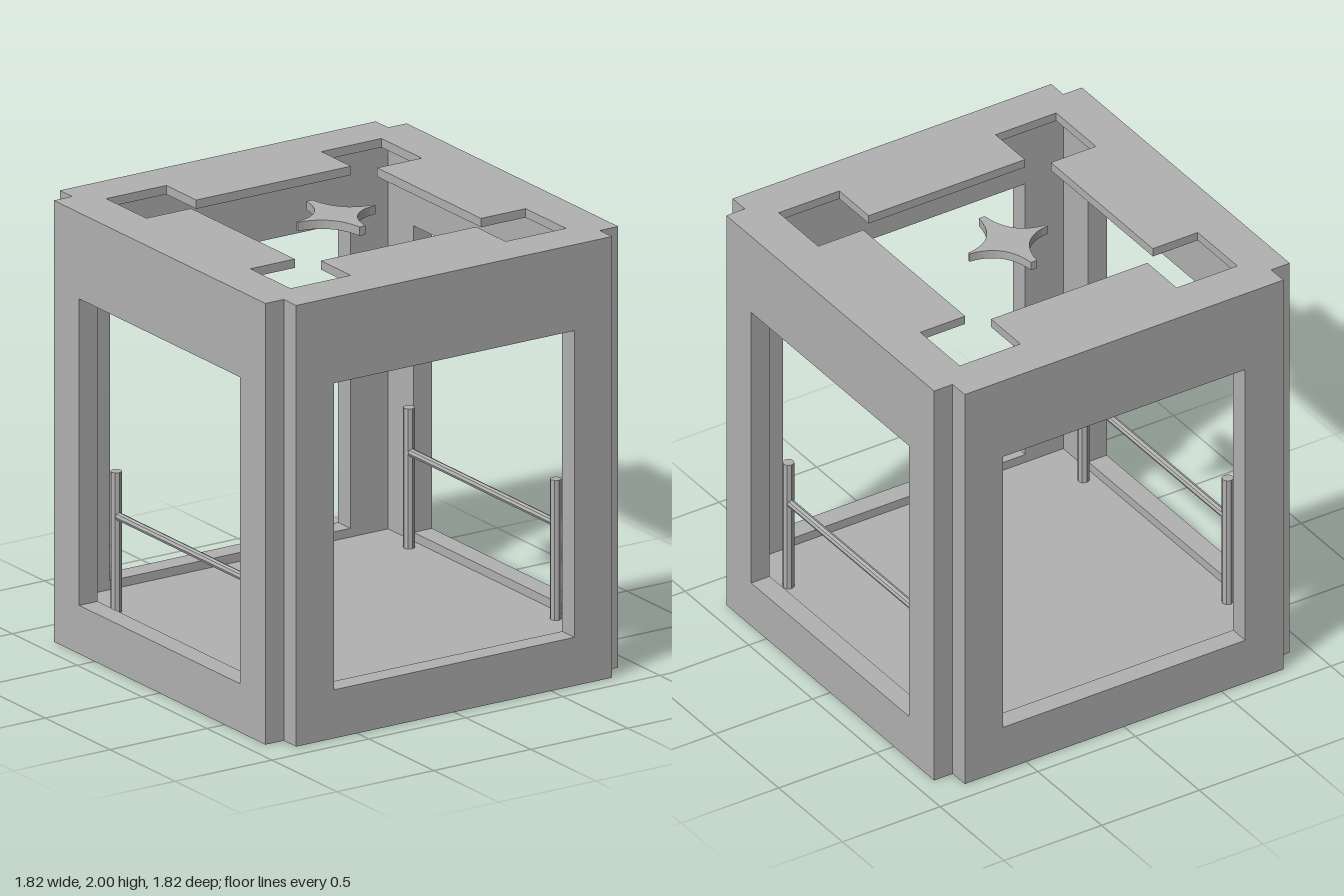
import * as THREE from 'three';

const INNER = 0.815, OUTER = 0.91, HEIGHT = 2;
const FLOOR_TOP = 0.18, ROOF_THICK = 0.04;

export function createModel() {
  const model = new THREE.Group();
  model.name = 'liftCage';
  const grey = new THREE.MeshStandardMaterial({ color: 0xb2b2b2, flatShading: true });
  grey.name = 'grey';

  const add = (geometry, name, x = 0, y = 0, z = 0) => {
    const mesh = new THREE.Mesh(geometry, grey);
    mesh.name = name;
    mesh.position.set(x, y, z);
    model.add(mesh);
    return mesh;
  };
  const polygon = (points) => new THREE.Shape(points.map(([x, y]) => new THREE.Vector2(x, y)));
  const extrude = (shape, depth) =>
    new THREE.ExtrudeGeometry(shape, { depth, bevelEnabled: false, curveSegments: 10 });

  // Four window-frame walls, leaving notched corners where they meet
  const wall = polygon([[-INNER, 0], [INNER, 0], [INNER, HEIGHT], [-INNER, HEIGHT]]);
  wall.holes.push(polygon([[-0.62, 0.22], [-0.62, 1.61], [0.62, 1.61], [0.62, 0.22]]));
  const wallGeometry = extrude(wall, OUTER - INNER).translate(0, 0, INNER);
  ['frontWall', 'leftWall', 'backWall', 'rightWall'].forEach((name, i) => {
    add(wallGeometry, name).rotation.y = i * Math.PI / 2;
  });

  // Floor
  add(new THREE.BoxGeometry(INNER * 2, FLOOR_TOP, INNER * 2), 'floor', 0, FLOOR_TOP / 2, 0);

  // Roof with a square opening widened at its four corners
  const roof = polygon([[-INNER, -INNER], [INNER, -INNER], [INNER, INNER], [-INNER, INNER]]);
  const opening = [];
  for (let i = 0; i < 4; i++) {
    const c = [1, 0, -1, 0][i], s = [0, 1, 0, -1][i];
    for (const [x, y] of [[0.48, 0.4], [0.71, 0.4], [0.71, 0.71], [0.4, 0.71], [0.4, 0.48]]) {
      opening.push([x * c - y * s, x * s + y * c]);
    }
  }
  roof.holes.push(polygon(opening));
  add(extrude(roof, ROOF_THICK).rotateX(-Math.PI / 2), 'roof', 0, HEIGHT - ROOF_THICK, 0);

  // Four-pointed star hanging level with the roof
  const star = new THREE.Shape();
  star.moveTo(0.2, 0.005);
  star.quadraticCurveTo(0.035, 0.02, 0.015, 0.205);
  star.lineTo(-0.015, 0.205);
  star.quadraticCurveTo(-0.035, 0.02, -0.2, 0.005);
  star.lineTo(-0.2, -0.005);
  star.quadraticCurveTo(-0.035, -0.02, -0.015, -0.205);
  star.lineTo(0.015, -0.205);
  star.quadraticCurveTo(0.035, -0.02, 0.2, -0.005);
  star.closePath();
  add(extrude(star, ROOF_THICK).rotateX(-Math.PI / 2), 'star', 0, HEIGHT - ROOF_THICK, 0);

  // Handrails along both sides, each on two posts
  const postHeight = 0.815 - FLOOR_TOP;
  const post = new THREE.CylinderGeometry(0.026, 0.026, postHeight, 8);
  const rail = new THREE.CylinderGeometry(0.018, 0.018, 1.1, 8).rotateX(Math.PI / 2);
  for (const side of [-1, 1]) {
    const label = side > 0 ? 'left' : 'right';
    add(rail, label + 'Rail', side * 0.755, 0.615, 0);
    for (const end of [-1, 1]) {
      add(post, label + (end > 0 ? 'FrontPost' : 'BackPost'),
        side * 0.755, FLOOR_TOP + postHeight / 2, end * 0.565);
    }
  }
  return model;
}
